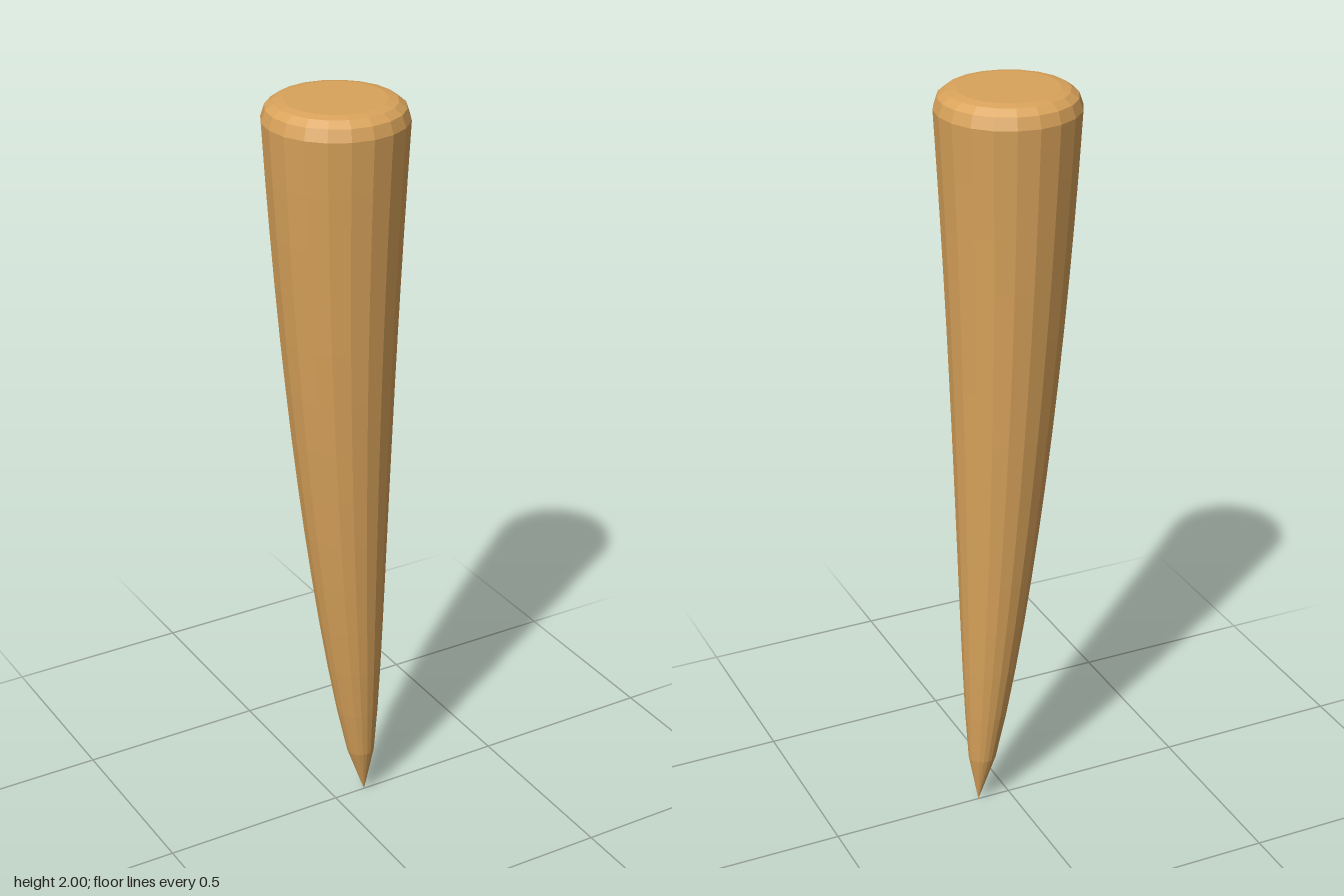
import * as THREE from 'three';

const RADIUS = 0.18, SHOULDER = 1.95, STEPS = 14, SIDES = 20, LEAN = 0.09;

export function createModel() {
  const group = new THREE.Group();
  group.name = 'taperedSpike';

  // Tapering shaft, from the pointed tip up to the shoulder
  const profile = [];
  for (let i = 0; i <= STEPS; i++) {
    const t = i / STEPS;
    profile.push(new THREE.Vector2(RADIUS * Math.pow(t, 0.6), SHOULDER * t));
  }
  // Rounded rim and flat top
  for (const [r, y] of [[0.17, 1.98], [0.15, 1.995], [0.126, 2], [0, 2]]) {
    profile.push(new THREE.Vector2(r, y));
  }
  const geometry = new THREE.LatheGeometry(profile, SIDES);

  // Bend the tip gently sideways
  const pos = geometry.attributes.position;
  for (let i = 0; i < pos.count; i++) {
    const s = Math.max(0, 1 - pos.getY(i) / SHOULDER);
    pos.setX(i, pos.getX(i) + LEAN * s * s);
  }
  geometry.computeVertexNormals();

  const material = new THREE.MeshStandardMaterial({ color: 0xd9a35b, flatShading: true });
  const spike = new THREE.Mesh(geometry, material);
  spike.name = 'spike';
  group.add(spike);
  return group;
}
